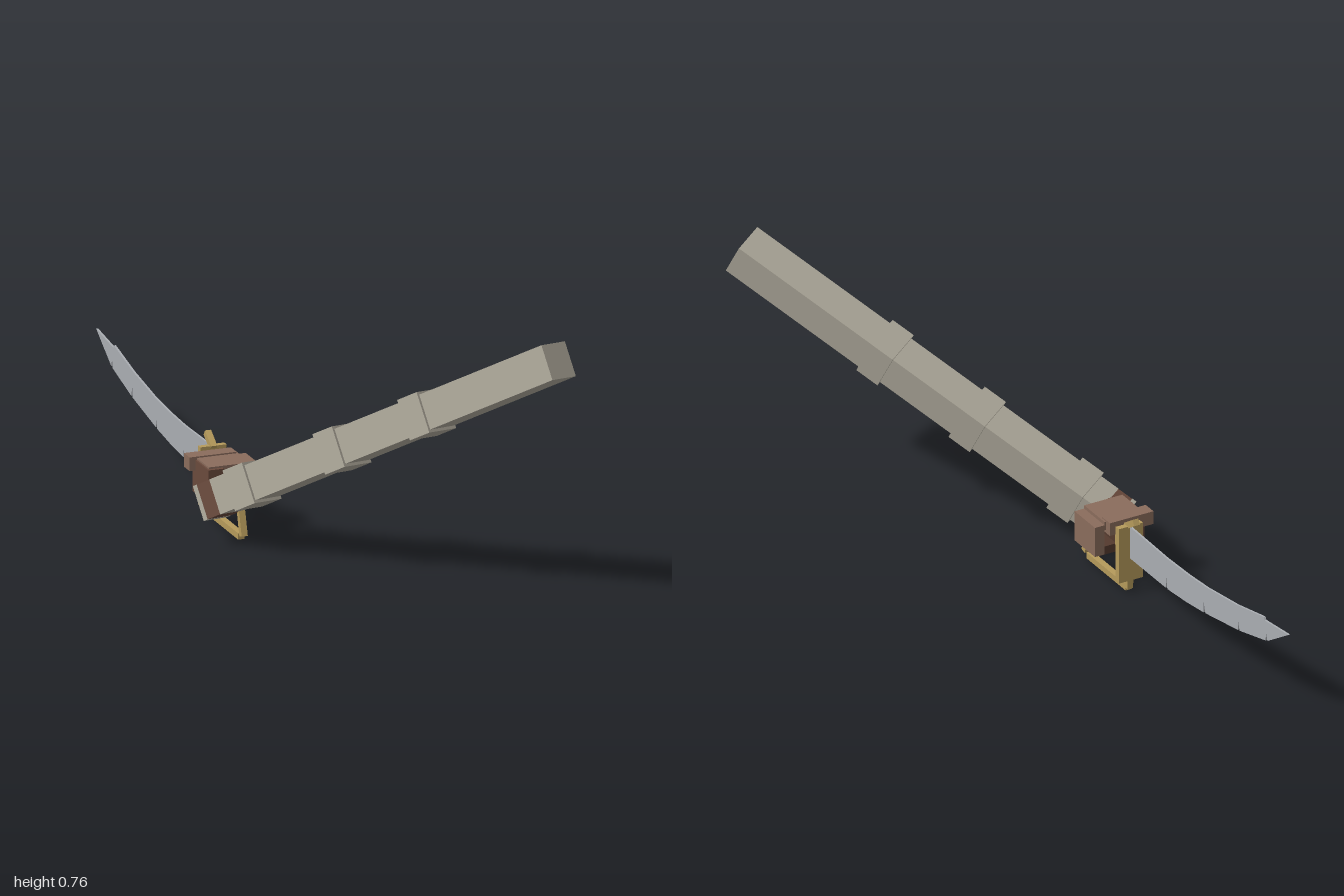
import * as THREE from 'three';

const material = (color) => new THREE.MeshStandardMaterial({ color, flatShading: true, side: THREE.DoubleSide });

export function createModel() {
  const model = new THREE.Group();
  const stone = material(0xaea99b), brown = material(0x6a4a3c), lightBrown = material(0x8a6c5c);
  const darkBrown = material(0x543a2e), gold = material(0xb59a5b), steel = material(0xaaadb2);

  const add = (parent, name, geometry, mat) => {
    const mesh = new THREE.Mesh(geometry, mat);
    mesh.name = name;
    parent.add(mesh);
    return mesh;
  };
  // Box given by its limits on each axis
  const span = (parent, name, mat, [x0, x1], [y0, y1], [z0, z1]) => {
    const mesh = add(parent, name, new THREE.BoxGeometry(x1 - x0, y1 - y0, z1 - z0), mat);
    mesh.position.set((x0 + x1) / 2, (y0 + y1) / 2, (z0 + z1) / 2);
    return mesh;
  };

  // Arm: its local z runs from the wrist to the far end
  const arm = new THREE.Group();
  arm.name = 'arm';
  const axis = new THREE.Vector3(0.52, 0.473, 0.712).normalize();
  const side = new THREE.Vector3(0.091, -0.015, -0.053);
  side.addScaledVector(axis, -side.dot(axis)).normalize();
  const up = new THREE.Vector3().crossVectors(axis, side);
  arm.quaternion.setFromRotationMatrix(new THREE.Matrix4().makeBasis(side, up, axis));
  arm.position.set(-0.331, 0.106, 0.041);
  model.add(arm);
  const segment = (name, mat, w, h, from, to) =>
    span(arm, name, mat, [-w / 2, w / 2], [-h / 2, h / 2], [from, to]);
  segment('wristCap', stone, 0.106, 0.1, 0, 0.014);
  segment('wristBand', brown, 0.105, 0.099, 0.014, 0.06);
  segment('armShaft', stone, 0.106, 0.1, 0.06, 1.275);
  for (const start of [0.118, 0.447, 0.757]) segment('armRing', stone, 0.122, 0.116, start, start + 0.071);

  // Hand: palm and blocky fingers wrapped round the grip
  const hand = new THREE.Group();
  hand.name = 'hand';
  model.add(hand);
  span(hand, 'palm', brown, [-0.335, -0.29], [0.1, 0.195], [-0.08, 0.04]);
  span(hand, 'upperFingers', lightBrown, [-0.33, -0.21], [0.175, 0.2], [-0.08, 0.03]);
  span(hand, 'fingertips', lightBrown, [-0.21, -0.18], [0.1, 0.19], [-0.08, 0.03]);
  span(hand, 'lowerFingers', darkBrown, [-0.3, -0.205], [0.09, 0.115], [-0.065, 0.03]);
  span(hand, 'thumb', lightBrown, [-0.352, -0.215], [0.165, 0.204], [-0.1, -0.058]);

  // Sword
  const sword = new THREE.Group();
  sword.name = 'sword';
  sword.position.x = -0.256;
  model.add(sword);
  span(sword, 'grip', darkBrown, [-0.021, 0.021], [0.137, 0.177], [-0.122, 0.055]);
  span(sword, 'pommel', gold, [-0.016, 0.016], [0.14, 0.172], [0.05, 0.1]);
  for (const z of [-0.105, 0.04])
    span(sword, 'gripCollar', gold, [-0.024, 0.024], [0.134, 0.18], [z - 0.006, z + 0.006]);
  span(sword, 'guardPlate', gold, [-0.038, 0.038], [0.037, 0.205], [-0.143, -0.126]);

  // Gold bars lying in the plane of the blade, from one (z, y) point to another
  const bar = (name, z0, y0, z1, y1) => {
    const length = Math.hypot(z1 - z0, y1 - y0);
    const mesh = add(sword, name, new THREE.BoxGeometry(0.018, 0.018, length), gold);
    mesh.position.set(0, (y0 + y1) / 2, (z0 + z1) / 2);
    mesh.rotation.x = -Math.atan2(y1 - y0, z1 - z0);
  };
  bar('guardProng', -0.125, 0.199, -0.172, 0.23);
  bar('guardStem', -0.13, 0.01, -0.134, 0.06);
  bar('knuckleBar', 0.082, 0.011, -0.13, 0.011);
  bar('knuckleStrut', 0.1, 0.016, 0.06, 0.15);

  // Curved blade with narrow nicks along its cutting edge
  const outline = [
    [0.13, 0.203], [0.34, 0.199], [0.46, 0.203], [0.56, 0.211], [0.72, 0.234], [0.865, 0.265], [0.87, 0.257], [0.998, 0.272],
    [0.885, 0.2], [0.878, 0.222], [0.875, 0.197], [0.735, 0.161], [0.726, 0.19], [0.725, 0.159],
    [0.55, 0.128], [0.541, 0.158], [0.54, 0.126], [0.445, 0.114], [0.345, 0.106], [0.339, 0.137], [0.336, 0.106], [0.13, 0.106],
  ];
  const blade = new THREE.Shape(outline.map(([x, y]) => new THREE.Vector2(x, y)));
  const bladeGeometry = new THREE.ExtrudeGeometry(blade, { depth: 0.006, bevelEnabled: false });
  bladeGeometry.translate(0, 0, -0.003).rotateY(Math.PI / 2);
  add(sword, 'blade', bladeGeometry, steel);

  return model;
}
